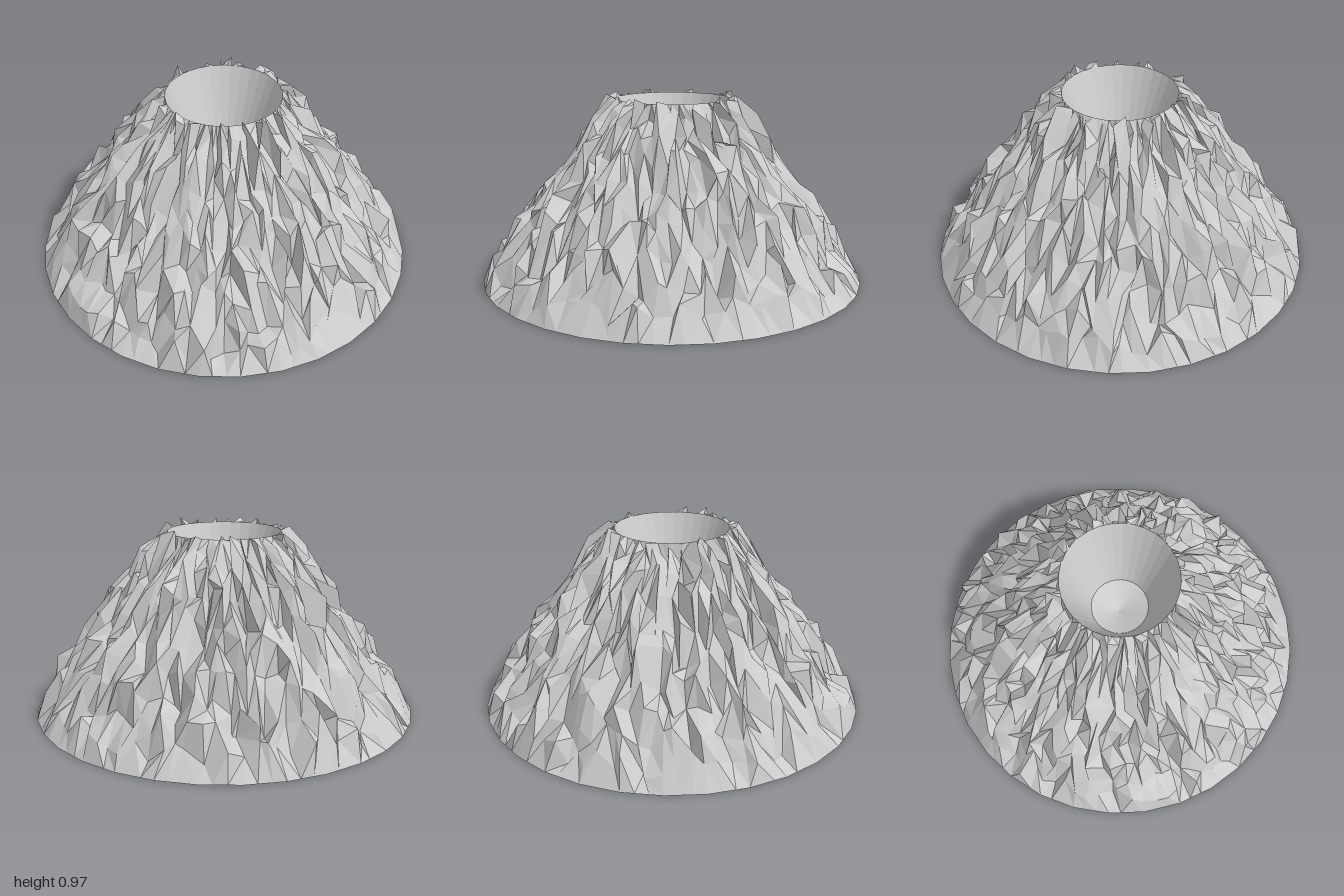
import * as THREE from 'three';

const SIDES = 32, PER_SIDE = 3, COLS = SIDES * PER_SIDE, ROWS = 10;
const BASE_R = 1, RIM_R = 0.295, HEIGHT = 0.94;

// Small seeded generator, returns -1..1
function makeRandom(seed) {
  return () => {
    seed = (seed + 0x6d2b79f5) | 0;
    let t = Math.imul(seed ^ (seed >>> 15), 1 | seed);
    t = (t + Math.imul(t ^ (t >>> 7), 61 | t)) ^ t;
    return ((t ^ (t >>> 14)) >>> 0) / 2147483648 - 1;
  };
}

// Point on a 32-sided ring that carries several columns per side
function ringPoint(col, radius, y) {
  const corner = (i) => {
    const a = (i / SIDES) * Math.PI * 2;
    return new THREE.Vector3(Math.sin(a) * radius, y, Math.cos(a) * radius);
  };
  const side = Math.floor(col / PER_SIDE);
  return corner(side).lerp(corner(side + 1), (col % PER_SIDE) / PER_SIDE);
}

// Rocky cone wall: clean at base and rim, jagged upright shards in between
function makeSlope() {
  const random = makeRandom(29);
  const positions = [], index = [];
  for (let r = 0; r <= ROWS; r++) {
    const fixed = r === 0 || r === ROWS;
    // the last jagged row sits just under the rim so that some peaks rise past it
    const t = r === ROWS ? 1 : (r / (ROWS - 1)) * 0.96;
    const bulge = 0.02 * Math.sin(Math.PI * t);
    for (let c = 0; c < COLS; c++) {
      const p = ringPoint(c, THREE.MathUtils.lerp(BASE_R, RIM_R, t) + bulge, t * HEIGHT);
      if (!fixed) {
        const angle = Math.atan2(p.x, p.z) + (random() * 0.026) / Math.hypot(p.x, p.z);
        const radius = THREE.MathUtils.clamp(
          Math.hypot(p.x, p.z) + random() * 0.042, RIM_R + 0.005, BASE_R);
        const y = Math.max(p.y + random() * 0.065, 0.02);
        p.set(Math.sin(angle) * radius, Math.min(y, 0.975), Math.cos(angle) * radius);
      }
      positions.push(p.x, p.y, p.z);
    }
  }
  for (let r = 0; r < ROWS; r++) {
    for (let c = 0; c < COLS; c++) {
      const a = r * COLS + c, b = r * COLS + ((c + 1) % COLS);
      const d = a + COLS, e = b + COLS;
      if (random() > 0) index.push(a, b, e, a, e, d);
      else index.push(a, b, d, b, e, d);
    }
  }
  const geometry = new THREE.BufferGeometry();
  geometry.setAttribute('position', new THREE.Float32BufferAttribute(positions, 3));
  geometry.setIndex(index);
  geometry.computeVertexNormals();
  return geometry;
}

export function createModel() {
  const group = new THREE.Group();
  group.name = 'volcano';
  const material = new THREE.MeshStandardMaterial({
    color: 0xcccccc, flatShading: true, side: THREE.DoubleSide,
  });
  const add = (name, geometry) => {
    const mesh = new THREE.Mesh(geometry, material);
    mesh.name = name;
    group.add(mesh);
    return mesh;
  };

  add('rockySlope', makeSlope());

  // Smooth funnel with a shallow dished floor
  const profile = [[RIM_R, HEIGHT], [0.15, 0.56], [0, 0.5]].map(([x, y]) => new THREE.Vector2(x, y));
  add('crater', new THREE.LatheGeometry(profile, SIDES));

  // Flat underside, corners aligned with the slope
  add('underside', new THREE.CircleGeometry(BASE_R, SIDES)).rotation.x = Math.PI / 2;

  return group;
}
